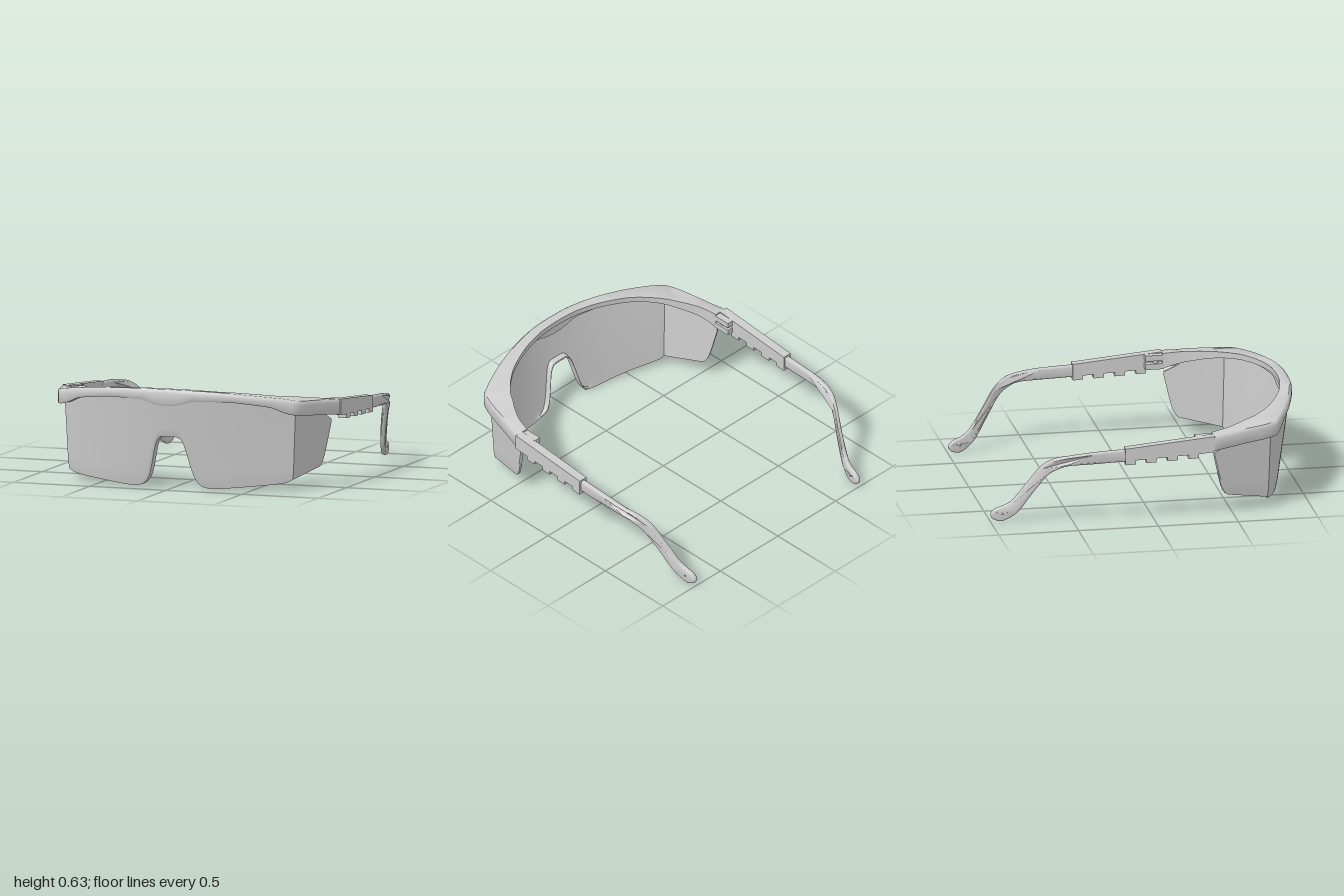
import * as THREE from 'three';
import { toCreasedNormals } from 'three/addons/utils/BufferGeometryUtils.js';

const material = new THREE.MeshStandardMaterial({ color: 0xcccccc, side: THREE.DoubleSide });
const V = (x, y, z) => new THREE.Vector3(x, y, z);

function addMesh(parent, name, geometry) {
  const mesh = new THREE.Mesh(geometry, material);
  mesh.name = name;
  parent.add(mesh);
}

// Piecewise-linear lookup in [[key, value], ...]
function lookup(table, k) {
  if (k <= table[0][0]) return table[0][1];
  for (let i = 1; i < table.length; i++) {
    const [k0, v0] = table[i - 1], [k1, v1] = table[i];
    if (k <= k1) return v0 + (v1 - v0) * (k - k0) / (k1 - k0);
  }
  return table[table.length - 1][1];
}

// Skin closed rings of points and cap both ends
function loft(rings, crease) {
  const n = rings[0].length, index = [], last = (rings.length - 1) * n;
  for (let i = 0; i < rings.length - 1; i++) {
    for (let j = 0; j < n; j++) {
      const a = i * n + j, b = i * n + (j + 1) % n;
      index.push(a, a + n, b + n, a, b + n, b);
    }
  }
  for (let j = 1; j < n - 1; j++) {
    index.push(0, j, j + 1, last, last + j + 1, last + j);
  }
  const g = new THREE.BufferGeometry().setFromPoints(rings.flat());
  g.setIndex(index);
  return toCreasedNormals(g, crease);
}

// Mirror across x = 0 and restore the winding
function mirrored(geometry) {
  const g = geometry.index ? geometry.toNonIndexed() : geometry.clone();
  const p = g.attributes.position, nrm = g.attributes.normal, index = [];
  for (let i = 0; i < p.count; i++) {
    p.setX(i, -p.getX(i));
    nrm.setX(i, -nrm.getX(i));
  }
  for (let i = 0; i < p.count; i += 3) index.push(i, i + 2, i + 1);
  g.setIndex(index);
  return g;
}

// ---- Wraparound lens: u runs along the plan curve, corner at CORNER ----
const CORNER = 0.76, SIDE = 0.38;

function lensPoint(u, y) {
  const a = Math.abs(u), k = 0.55 - y, taper = 1 - 0.06 * k;
  if (a <= CORNER) {
    const bulge = 1 - (a / CORNER) ** 2;
    return V(u * taper, y, 0.75 + (0.235 - 0.13 * k) * bulge - 0.03 * k);
  }
  const t = (a - CORNER) / SIDE;
  return V(Math.sign(u) * (CORNER + 0.105 * t) * taper, y, 0.75 - 0.37 * t - 0.03 * k * (1 - t));
}

const sideBottom = [[0, 0.07], [0.7, 0.12], [0.76, 0.125], [0.81, 0.14], [0.86, 0.175], [0.9, 0.225], [1, 0.39]];
const frontBottom = [[0, 0.005], [0.27, 0.005], [0.66, 0.042], [0.72, 0.052], [0.76, 0.07]];
const sideTop = [[0, 0.53], [0.6, 0.5], [0.8, 0.45], [1, 0.41]];

function lensGeometry() {
  const half = [];
  for (let i = 1; i <= 30; i++) half.push(i * 0.01);
  for (let i = 1; i <= 23; i++) half.push(0.3 + i * 0.02);
  for (let i = 1; i <= 24; i++) half.push(CORNER + SIDE * i / 24);
  const columns = [...half.map(u => -u).reverse(), 0, ...half];
  const rows = 10, thick = 0.018;
  const rings = columns.map(u => {
    const a = Math.abs(u), t = (a - CORNER) / SIDE;
    const notch = 1 / (1 + (a / 0.125) ** 6);
    const bottom = t > 0 ? lookup(sideBottom, t) : lookup(frontBottom, a) + 0.325 * notch;
    const top = t > 0 ? lookup(sideTop, t) : 0.585 - 0.055 * (a / CORNER) ** 2;
    const lip = 0.035 / (1 + (a / 0.19) ** 12);  // nose flange
    const at = (y, depth) => {
      const d = lensPoint(u + 0.004, y).sub(lensPoint(u - 0.004, y)).normalize();
      return lensPoint(u, y).add(V(d.z, 0, -d.x).multiplyScalar(depth));
    };
    const outer = [], inner = [];
    for (let j = 0; j <= rows; j++) {
      const f = j / rows;
      outer.push(at(bottom + (top - bottom) * f, j ? 0 : 0.005));
      const low = bottom + Math.min(0.015, (top - bottom) / 3);
      inner.unshift(at(low + (top - low) * f, thick));
    }
    return [at(bottom, thick + lip), ...outer, ...inner, at(bottom + 0.01, thick + lip)];
  });
  return loft(rings, 0.6);
}

// ---- Brow frame: outer x, z | inner x, z | outer top, inner top, bottom ----
const browStations = [
  [0, 0.995, 0, 0.925, 0.63, 0.627, 0.527],
  [0.08, 0.994, 0.08, 0.923, 0.629, 0.626, 0.535],
  [0.17, 0.988, 0.17, 0.914, 0.627, 0.624, 0.56],
  [0.3, 0.965, 0.3, 0.885, 0.622, 0.617, 0.562],
  [0.4, 0.94, 0.4, 0.848, 0.615, 0.611, 0.56],
  [0.52, 0.903, 0.51, 0.795, 0.604, 0.601, 0.547],
  [0.63, 0.86, 0.6, 0.73, 0.592, 0.588, 0.53],
  [0.72, 0.818, 0.67, 0.66, 0.58, 0.577, 0.492],
  [0.775, 0.788, 0.71, 0.6, 0.569, 0.57, 0.478],
  [0.81, 0.73, 0.745, 0.55, 0.562, 0.562, 0.472],
  [0.86, 0.56, 0.79, 0.47, 0.55, 0.55, 0.458],
  [0.91, 0.37, 0.82, 0.365, 0.535, 0.535, 0.437],
];

function browGeometry() {
  const flip = s => [-s[0], s[1], -s[2], ...s.slice(3)];
  const all = [...browStations.slice(1).reverse().map(flip), ...browStations];
  const spline = pick => new THREE.CatmullRomCurve3(all.map(pick));
  const outerPath = spline(s => V(s[0], 0, s[1]));
  const innerPath = spline(s => V(s[2], 0, s[3]));
  const heights = spline(s => V(s[4], s[5], s[6]));
  const rings = [], steps = (all.length - 1) * 5;
  for (let i = 0; i <= steps; i++) {
    const t = i / steps, o = outerPath.getPoint(t), n = innerPath.getPoint(t), h = heights.getPoint(t);
    const dir = n.clone().sub(o).normalize();
    const at = (depth, y) => o.clone().addScaledVector(dir, depth).setY(y);
    const end = Math.abs(2 * t - 1) ** 4;
    const under = h.y - (0.035 + (h.y - h.z - 0.035) * end);  // flange thickens to the hinge
    rings.push([
      at(0.006, h.z), at(0, h.z + 0.01), at(0, h.x - 0.022), at(0.005, h.x - 0.009), at(0.016, h.x),
      n.clone().setY(h.y), n.clone().setY(under), at(0.055, under), at(0.055, h.z),
    ]);
  }
  return loft(rings, 0.75);
}

// Extrude a side profile drawn in (-z, y) across x, from x0 to x1
function sideExtrude(shape, x0, x1, bevel, curveSegments = 5) {
  const g = new THREE.ExtrudeGeometry(shape, {
    depth: x1 - x0 - 2 * bevel, curveSegments, bevelEnabled: bevel > 0,
    bevelThickness: bevel, bevelSize: bevel, bevelOffset: -bevel, bevelSegments: 3,
  });
  g.rotateY(Math.PI / 2);
  g.translate(x0 + bevel, 0, 0);
  return g;
}

// ---- Adjustable sleeve with a row of ratchet teeth underneath ----
function sleeveGeometry() {
  const base = s => 0.415 - 0.045 * s, pts = [[-0.37, 0.535], [-0.37, 0.435]];
  for (const s of [-0.27, -0.137, -0.005, 0.125]) {
    const w = 0.064, drop = 0.025;
    pts.push([s, base(s)], [s, base(s) - drop], [s + w, base(s + w) - drop], [s + w, base(s + w)]);
  }
  pts.push([0.19, 0.485]);
  return sideExtrude(new THREE.Shape(pts.map(p => new THREE.Vector2(...p))), 0.857, 0.915, 0);
}

// ---- Temple arm: curved side profile with a cord hole, bent inward ----
const armBend = [[0.15, 0.885], [0.4, 0.885], [0.48, 0.882], [0.55, 0.874], [0.62, 0.85], [0.68, 0.818],
  [0.75, 0.779], [0.82, 0.746], [0.9, 0.72], [1, 0.706]];

function armGeometry() {
  const outline = [[0.4, 0.465], [0.55, 0.447], [0.63, 0.425], [0.7, 0.372], [0.76, 0.287], [0.82, 0.2],
    [0.87, 0.135], [0.92, 0.103], [0.97, 0.083], [0.997, 0.05], [0.982, 0.019], [0.93, 0.005], [0.87, 0.035],
    [0.82, 0.082], [0.77, 0.16], [0.715, 0.245], [0.66, 0.322], [0.6, 0.364], [0.53, 0.387], [0.4, 0.392],
    [0.15, 0.4]];
  const shape = new THREE.Shape().moveTo(0.15, 0.477);
  shape.splineThru(outline.map(p => new THREE.Vector2(...p)));
  shape.holes.push(new THREE.Path().absarc(0.927, 0.055, 0.018, 0, Math.PI * 2, true));
  const g = sideExtrude(shape, -0.017, 0.017, 0.012);
  const p = g.attributes.position;
  for (let i = 0; i < p.count; i++) p.setX(i, p.getX(i) + lookup(armBend, -p.getZ(i)));
  return toCreasedNormals(g, 0.7);
}

export function createModel() {
  const group = new THREE.Group();
  group.name = 'safetyGlasses';
  addMesh(group, 'lens', lensGeometry());
  addMesh(group, 'browFrame', browGeometry());

  // Hinge: two lugs and a pin on the inner side of the sleeve
  const lug = y => new THREE.BoxGeometry(0.05, 0.036, 0.115).translate(0.84, y, 0.315);
  const pin = new THREE.CylinderGeometry(0.016, 0.016, 0.08, 12).translate(0.842, 0.482, 0.325);

  const temple = { Sleeve: sleeveGeometry(), Arm: armGeometry(), UpperLug: lug(0.508), LowerLug: lug(0.454), HingePin: pin };
  for (const [part, geometry] of Object.entries(temple)) {
    addMesh(group, 'left' + part, geometry);
    addMesh(group, 'right' + part, mirrored(geometry));
  }
  return group;
}
